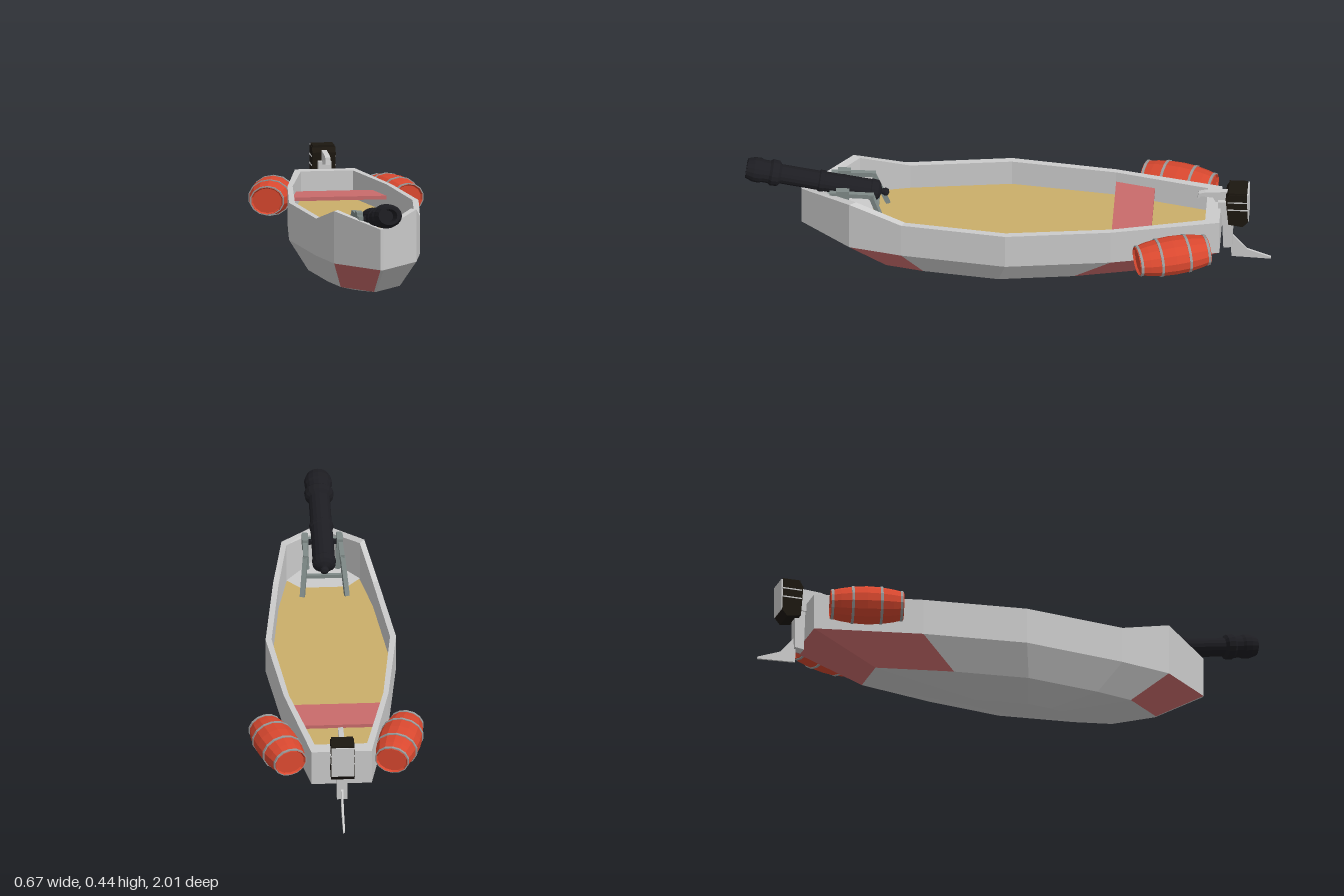
import * as THREE from 'three';

const mat = (color, side = THREE.FrontSide) => new THREE.MeshStandardMaterial({ color, flatShading: true, side });
const GREY = mat(0xcccccc), RED = mat(0xc96b6b), TAN = mat(0xcaae6a), IRON = mat(0x1d1d22);
const FRAME = mat(0x7f8a88), DRUM = mat(0xd9482f), HOOP = mat(0x9a9a9a), BLACK = mat(0x1c1710);

function add(parent, name, geometry, material, x = 0, y = 0, z = 0) {
  const m = new THREE.Mesh(geometry, material);
  m.name = name;
  m.position.set(x, y, z);
  parent.add(m);
  return m;
}

// Closed ring from half-outline [x, z] pairs, bow to stern, then mirrored back
function ring(half, height, s = 1, dz = 0) {
  const right = half.map(([x, z], i) => [x * s, Array.isArray(height) ? height[i] : height, z * s + dz]);
  return [...right, ...right.map(([x, y, z]) => [-x, y, z]).reverse()];
}

function fromTriangles(points) {
  const g = new THREE.BufferGeometry();
  g.setAttribute('position', new THREE.Float32BufferAttribute(points.flat(), 3));
  g.computeVertexNormals();
  return g;
}

// Band of quads between two rings, limited to the chosen panels
function band(a, b, use = () => true) {
  const t = [];
  a.forEach((p, i) => {
    const j = (i + 1) % a.length;
    if (use(i)) t.push(p, a[j], b[j], p, b[j], b[i]);
  });
  return fromTriangles(t);
}

function cap(r, down = false) {
  const t = [];
  for (let i = 1; i < r.length - 1; i++) t.push(r[0], ...(down ? [r[i + 1], r[i]] : [r[i], r[i + 1]]));
  return fromTriangles(t);
}

// Plate with a side outline of [z, y] points and a width along x
function plate(points, width) {
  const shape = new THREE.Shape(points.map(([z, y]) => new THREE.Vector2(z, y)));
  const g = new THREE.ExtrudeGeometry(shape, { depth: width, bevelEnabled: false });
  return g.translate(0, 0, -width / 2).rotateY(-Math.PI / 2);
}

// Square bar between two points
function bar(parent, name, a, b, size, material) {
  const p = new THREE.Vector3(...a), q = new THREE.Vector3(...b);
  const m = add(parent, name, new THREE.BoxGeometry(size, size, p.distanceTo(q)), material);
  m.position.copy(p).lerp(q, 0.5);
  m.lookAt(q);
}

const lathe = (pts, seg) => new THREE.LatheGeometry(pts.map(([r, y]) => new THREE.Vector2(r, y)), seg);

function makeHull() {
  const hull = new THREE.Group();
  hull.name = 'hull';
  const outer = [[0.006, 0.79], [0.158, 0.6], [0.2, 0.4], [0.249, 0], [0.2, -0.4], [0.115, -0.81]];
  const inner = [[0.004, 0.745], [0.14, 0.575], [0.18, 0.385], [0.226, 0], [0.18, -0.4], [0.1, -0.755]];
  const rimY = [0.32, 0.365, 0.306, 0.306, 0.306, 0.306];
  const rim = ring(outer, rimY), chine = ring(outer, 0.163);
  const bilge = ring(outer, 0.05, 0.72, 0.03), keel = ring(outer, 0, 0.235, 0.067);
  const rimIn = ring(inner, rimY), floor = ring(inner, 0.2);
  const red = i => [1, 4, 5, 6, 10].includes(i);

  add(hull, 'sidePlanks', band(chine, rim), GREY);
  add(hull, 'lowerPlanks', band(bilge, chine, i => !red(i)), GREY);
  add(hull, 'redPanels', band(bilge, chine, red), RED);
  add(hull, 'bottomPlanks', band(keel, bilge), GREY);
  add(hull, 'keelPlate', cap(keel, true), GREY);
  add(hull, 'gunwale', band(rim, rimIn), GREY);
  add(hull, 'innerWalls', band(rimIn, floor), GREY);
  add(hull, 'floor', cap(floor), TAN);
  add(hull, 'bowDeck', cap(ring([[0.004, 0.745], [0.14, 0.575], [0.09, 0.52]], 0.206)), GREY);

  // Bench spanning the hull, following its taper
  const bench = [[0.183, -0.4], [0.15, -0.55]];
  const top = ring(bench, 0.262), under = ring(bench, 0.248);
  add(hull, 'bench', cap(top), RED);
  add(hull, 'benchEdge', band(under, top), RED);
  add(hull, 'benchUnderside', cap(under, true), RED);
  return hull;
}

function makeCannon() {
  const cannon = new THREE.Group();
  cannon.name = 'cannon';
  // Knob, breech, tapering tube, muzzle swell and hollow bore
  const profile = [[0, 0], [0.014, 0.005], [0.017, 0.016], [0.011, 0.03], [0.03, 0.036], [0.044, 0.045],
    [0.046, 0.07], [0.043, 0.075], [0.042, 0.25], [0.046, 0.255], [0.046, 0.27], [0.041, 0.275],
    [0.041, 0.42], [0.054, 0.43], [0.056, 0.455], [0.048, 0.465], [0.048, 0.49], [0.053, 0.5],
    [0.052, 0.525], [0.042, 0.552], [0.03, 0.552], [0.028, 0.45], [0, 0.45]];
  const tube = add(cannon, 'cannonTube', lathe(profile, 16), IRON, 0, 0.312, 0.455);
  tube.rotation.x = Math.PI / 2 - 0.17;
  tube.scale.z = 0.85;

  // Stand with rails, cross bars and splayed legs
  for (const s of [-1, 1]) {
    bar(cannon, 'standRail', [s * 0.07, 0.345, 0.51], [s * 0.066, 0.345, 0.68], 0.018, FRAME);
    bar(cannon, 'rearLeg', [s * 0.07, 0.345, 0.52], [s * 0.085, 0.2, 0.465], 0.018, FRAME);
    bar(cannon, 'frontLeg', [s * 0.066, 0.34, 0.67], [s * 0.06, 0.2, 0.655], 0.018, FRAME);
    add(cannon, 'trunnionCheek', new THREE.BoxGeometry(0.024, 0.045, 0.05), FRAME, s * 0.066, 0.343, 0.63);
    bar(cannon, 'trunnion', [s * 0.03, 0.342, 0.63], [s * 0.07, 0.342, 0.63], 0.016, IRON);
  }
  bar(cannon, 'rearCrossBar', [-0.07, 0.27, 0.5], [0.07, 0.27, 0.5], 0.014, FRAME);
  add(cannon, 'frontCrossPlate', new THREE.BoxGeometry(0.155, 0.01, 0.03), FRAME, 0, 0.323, 0.675);
  return cannon;
}

function makeBarrel(name, x, yaw) {
  const barrel = new THREE.Group();
  barrel.name = name;
  const radius = y => 0.083 - 0.022 * (y / 0.14) ** 2;
  const ys = [-0.14, -0.1, -0.05, 0, 0.05, 0.1, 0.14];
  const staves = [[0, -0.132], [0.056, -0.132], ...ys.map(y => [radius(y), y]), [0.056, 0.132], [0, 0.132]];
  add(barrel, 'staves', lathe(staves, 14), DRUM);
  for (const y of [-0.132, -0.055, 0.055, 0.132]) {
    const r = radius(y);
    const hoop = [[r - 0.004, y - 0.005], [r + 0.003, y - 0.005], [r + 0.003, y + 0.005], [r - 0.004, y + 0.005]];
    add(barrel, 'hoop', lathe(hoop, 14), HOOP);
  }
  barrel.scale.z = 0.85;
  barrel.position.set(x, 0.235, -0.637);
  barrel.rotation.set(Math.PI / 2, yaw, 0, 'YXZ');
  return barrel;
}

function makeMotor() {
  const motor = new THREE.Group();
  motor.name = 'outboardMotor';
  const cowl = [[-0.83, 0.365], [-0.842, 0.385], [-0.91, 0.385], [-0.915, 0.26], [-0.895, 0.235], [-0.84, 0.245]];
  add(motor, 'cowl', plate(cowl, 0.09), BLACK);
  add(motor, 'cowlTop', new THREE.BoxGeometry(0.084, 0.008, 0.07), BLACK, 0, 0.388, -0.876);
  add(motor, 'cowlBack', new THREE.BoxGeometry(0.088, 0.125, 0.006), GREY, 0, 0.324, -0.915);
  for (const y of [0.315, 0.35])
    add(motor, 'cowlStripe', new THREE.BoxGeometry(0.093, 0.005, 0.078), GREY, 0, y, -0.876);
  add(motor, 'tiller', plate([[-0.72, 0.335], [-0.725, 0.362], [-0.75, 0.368], [-0.84, 0.375],
    [-0.84, 0.325], [-0.79, 0.325], [-0.78, 0.345], [-0.735, 0.35]], 0.02), GREY);
  add(motor, 'clamp', new THREE.BoxGeometry(0.05, 0.06, 0.05), GREY, 0, 0.305, -0.825);
  add(motor, 'driveLeg', plate([[-0.812, 0.32], [-0.857, 0.32], [-0.855, 0.12], [-0.82, 0.115]], 0.04), GREY);
  add(motor, 'rudderFin', plate([[-0.845, 0.175], [-0.86, 0.16], [-0.91, 0.1], [-1, 0.066], [-1, 0.058], [-0.85, 0.065]], 0.008), GREY);
  return motor;
}

export function createModel() {
  const boat = new THREE.Group();
  boat.name = 'boat';
  for (const part of [makeHull(), makeCannon(), makeMotor()]) {
    part.position.x = -0.006;
    boat.add(part);
  }
  boat.add(makeBarrel('rightBarrel', -0.235, -0.26), makeBarrel('leftBarrel', 0.23, 0.32));
  return boat;
}
